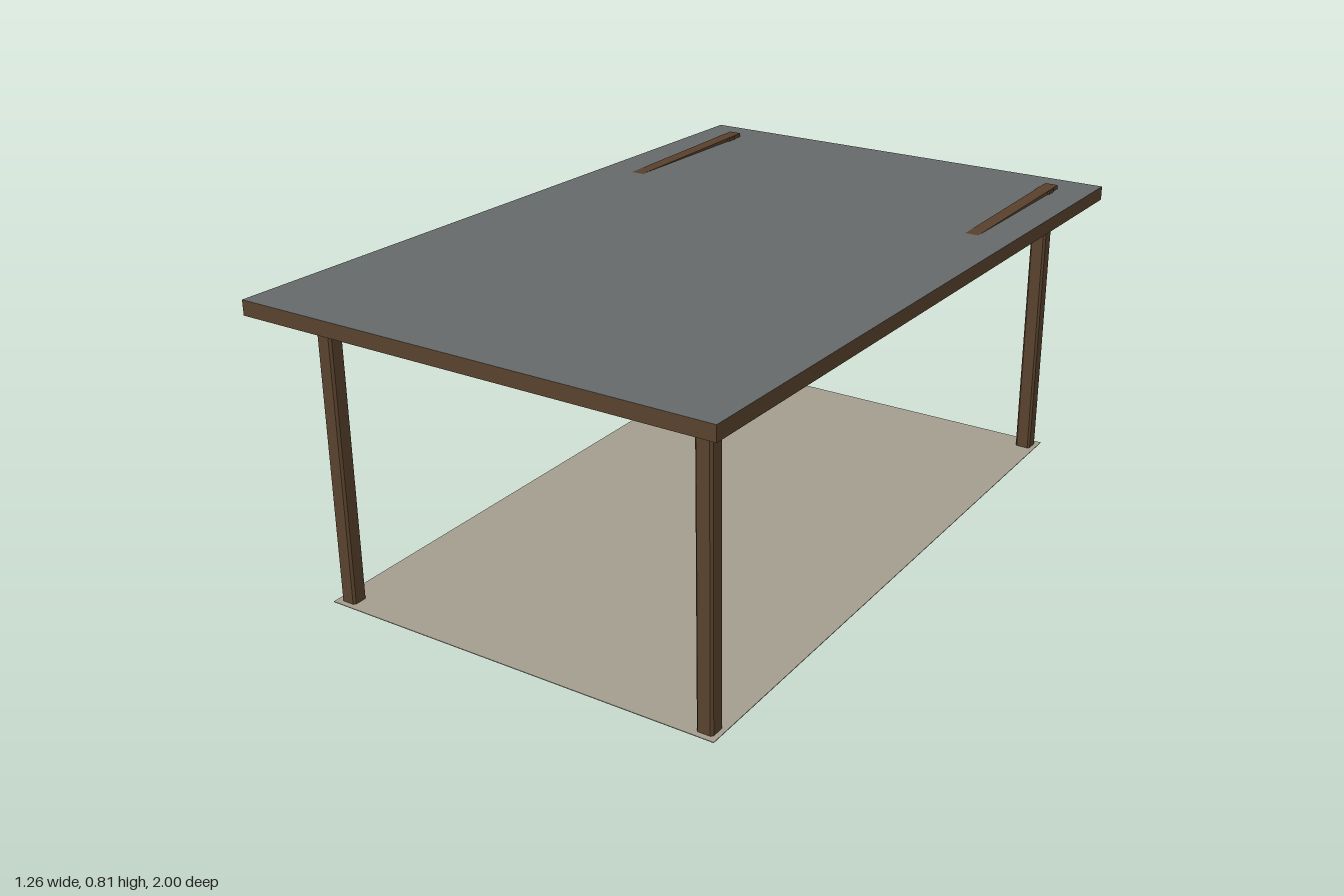
import * as THREE from 'three';

const mat = (name, color) => new THREE.MeshStandardMaterial({ name, color });

export function createModel() {
  const wood = mat('brown wood', 0x58412c);
  const roofing = mat('grey roofing', 0x65696b);
  const paving = mat('pale paving', 0xa39d8f);
  const group = new THREE.Group();
  group.name = 'carport';

  const add = (name, geometry, material, x, y, z) => {
    const mesh = new THREE.Mesh(geometry, material);
    mesh.name = name;
    mesh.position.set(x, y, z);
    group.add(mesh);
  };

  // Roof slab, sheared so it falls gently to the back; only its top is grey
  const roof = new THREE.BoxGeometry(1.256, 0.038, 2);
  const p = roof.attributes.position;
  for (let i = 0; i < p.count; i++) p.setY(i, p.getY(i) + 0.021 * p.getZ(i));
  roof.computeVertexNormals();
  add('roof', roof, [wood, wood, roofing, wood, wood, wood], 0, 0.767, 0);

  // Square post section with slightly chamfered corners
  const h = 0.0215, c = 0.016;
  const section = new THREE.Shape([
    [h, -c], [h, c], [c, h], [-c, h], [-h, c], [-h, -c], [-c, -h], [c, -h],
  ].map(([x, y]) => new THREE.Vector2(x, y)));
  const post = new THREE.ExtrudeGeometry(section, { depth: 0.777, bevelEnabled: false });
  post.rotateX(-Math.PI / 2);

  // Level side beams pierce the sloping roof towards the back
  const beam = new THREE.BoxGeometry(0.036, 0.061, 1.81);
  for (const side of [-1, 1]) {
    const name = side > 0 ? 'left' : 'right';
    add(name + 'Beam', beam, wood, side * 0.516, 0.7475, 0);
    add(name + 'FrontPost', post, wood, side * 0.516, 0, 0.854);
    add(name + 'BackPost', post, wood, side * 0.516, 0, -0.854);
  }

  // Thin paved floor
  add('floor', new THREE.BoxGeometry(1.1, 0.002, 1.78), paving, 0, 0.002, 0);

  return group;
}
